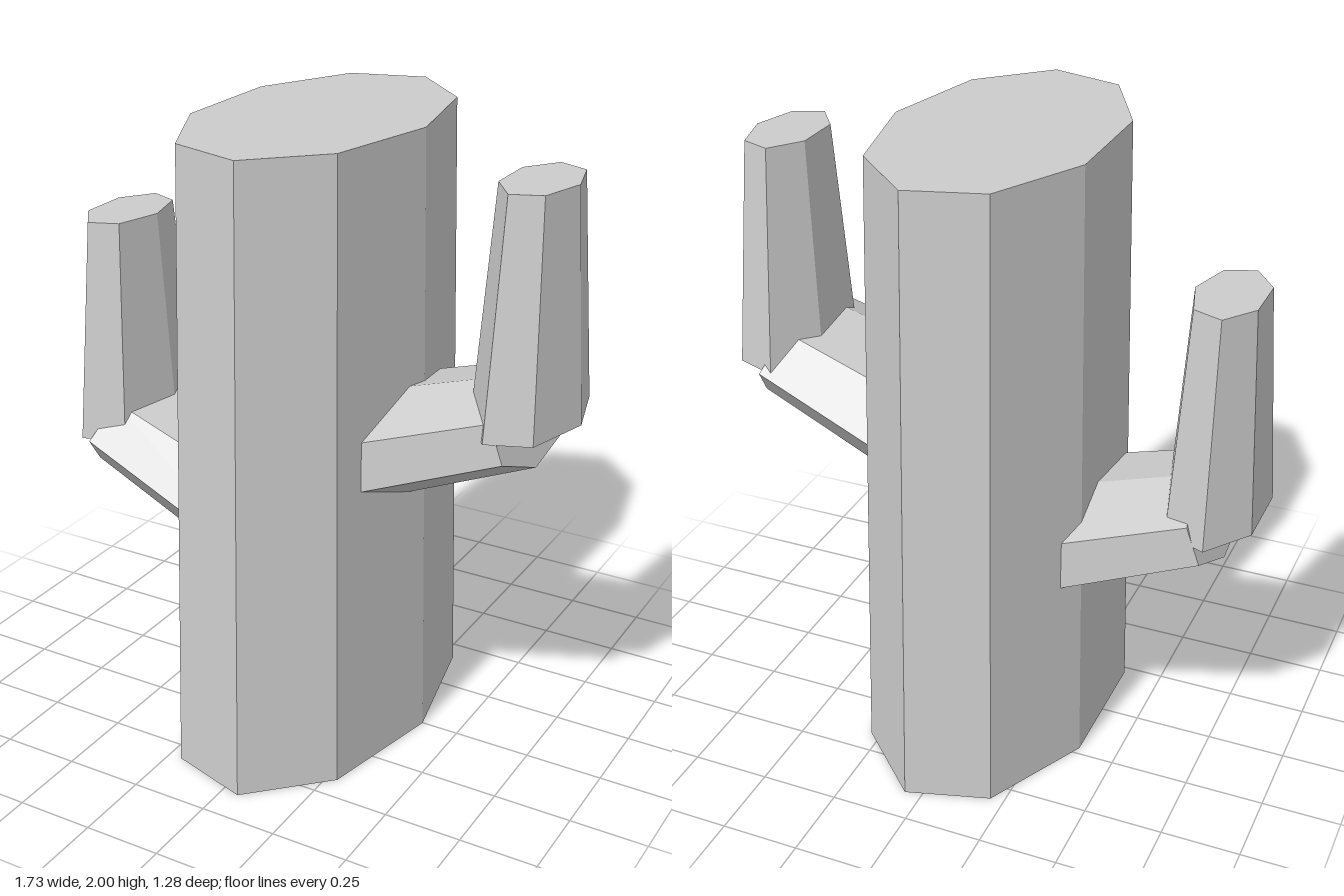
import * as THREE from 'three';

const TILT = THREE.MathUtils.degToRad(20);

// Tapered elliptical prism standing on y = 0; rx and rz are its base radii.
function taperedPrism(rx, rz, taper, height, sides, thetaStart) {
  return new THREE.CylinderGeometry(taper, 1, height, sides, 1, false, thetaStart)
    .translate(0, height / 2, 0)
    .scale(rx, 1, rz);
}

export function createModel() {
  const grey = new THREE.MeshStandardMaterial({ color: 0xcccccc, flatShading: true });
  grey.name = 'plainGrey';

  const model = new THREE.Group();
  model.name = 'cactus';

  const addPart = (parent, name, geometry) => {
    const mesh = new THREE.Mesh(geometry, grey);
    mesh.name = name;
    parent.add(mesh);
    return mesh;
  };

  // Nine-sided trunk, one corner facing +x
  addPart(model, 'trunk', taperedPrism(0.388, 0.65, 0.895, 2, 9, Math.PI / 2))
    .position.x = -0.012;

  // Arms: a sloping branch out of the trunk, then an upright on its end
  const arms = [
    { name: 'leftArm', x: 0.702, y: 1.185, turn: 0 },
    { name: 'rightArm', x: -0.723, y: 0.885, turn: Math.PI },
  ];
  for (const { name, x, y, turn } of arms) {
    const arm = new THREE.Group();
    arm.name = name;
    arm.position.set(x, y, 0);
    model.add(arm);

    const length = 0.702 / Math.cos(TILT);
    const branch = taperedPrism(0.19, 0.355, 0.78, length, 7, Math.PI)
      .translate(0, -length, 0)
      .rotateZ(TILT - Math.PI / 2)
      .rotateY(turn);
    addPart(arm, 'branch', branch);
    addPart(arm, 'upright', taperedPrism(0.158, 0.273, 0.7, 0.715, 7, Math.PI / 2));
  }

  return model;
}
